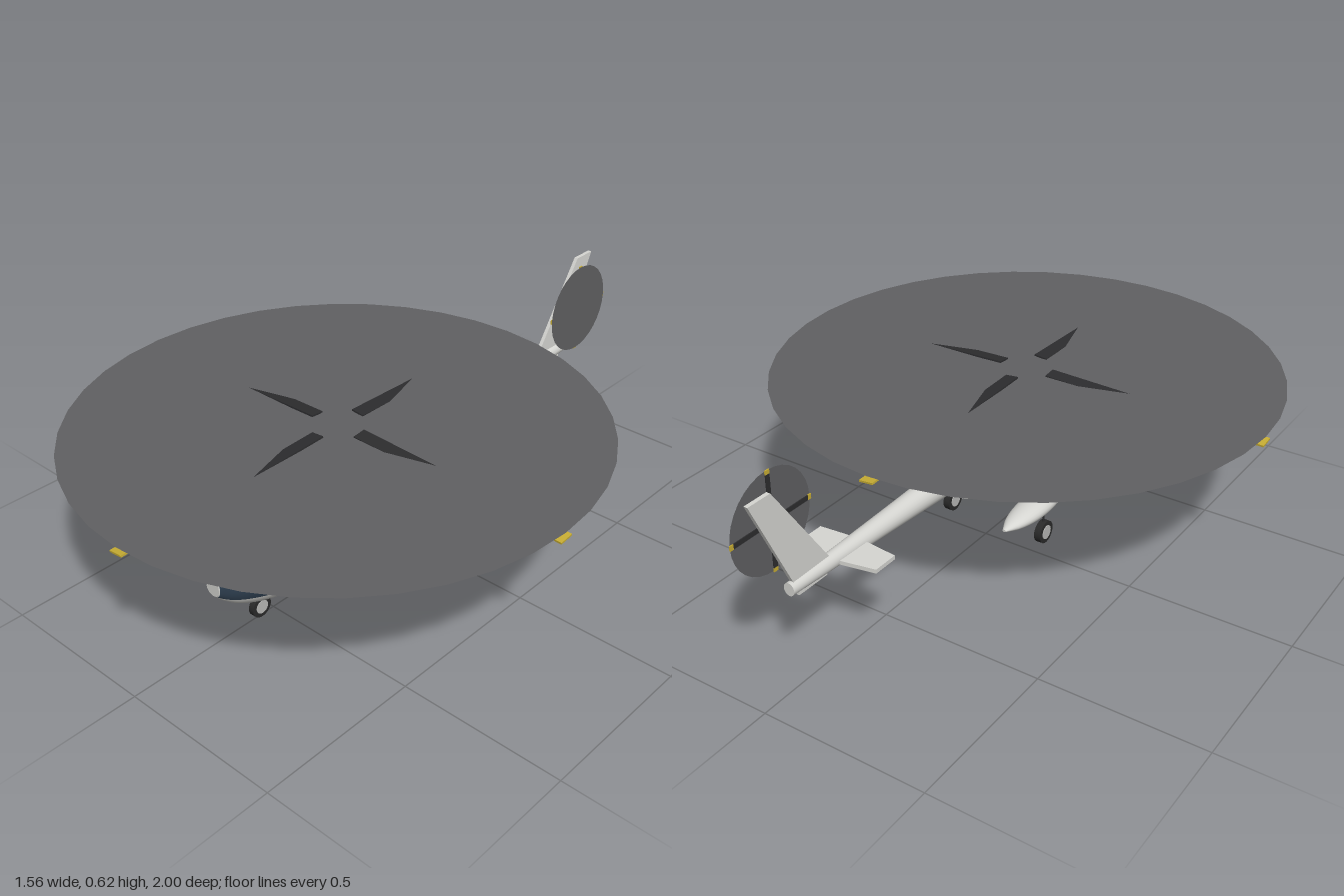
import * as THREE from 'three';

const mat = (name, color, side = THREE.FrontSide) => {
  const m = new THREE.MeshStandardMaterial({ color, side });
  m.name = name;
  return m;
};
const POWER = 2.3;
const bend = (v, p) => Math.sign(v) * Math.abs(v) ** (2 / p);

// Smooth section [centreY, halfWidth, halfHeight] at z, from rows [z, top, bottom, halfWidth] nose to tail
function sectionAt(rows, z) {
  let i = 0;
  while (i < rows.length - 2 && z < rows[i + 1][0]) i++;
  const a = rows[i], b = rows[i + 1], span = b[0] - a[0], t = (z - a[0]) / span;
  const slope = (k, c) => {
    const p = rows[Math.max(k - 1, 0)], q = rows[Math.min(k + 1, rows.length - 1)];
    return (q[c] - p[c]) / (q[0] - p[0]) * span;
  };
  const [top, bottom, hw] = [1, 2, 3].map((c) =>
    a[c] * (1 + 2 * t) * (1 - t) ** 2 + slope(i, c) * t * (1 - t) ** 2 +
    b[c] * t * t * (3 - 2 * t) + slope(i + 1, c) * t * t * (t - 1));
  return [(top + bottom) / 2, hw, (top - bottom) / 2];
}

// Skin through the sections between two stations, over an angle range given per z
function skin(rows, z0, z1, range, { steps = 24, sides = 40, power = 2, grow = 0, caps = [] } = {}) {
  const pos = [], idx = [], w = sides + 1;
  const point = (z, j) => {
    const [cy, hw, hh] = sectionAt(rows, z), [a0, a1] = range(z);
    const a = a0 + (a1 - a0) * j / sides;
    return [(hw + grow) * bend(Math.cos(a), power), cy + (hh + grow) * bend(Math.sin(a), power), z];
  };
  for (let i = 0; i <= steps; i++)
    for (let j = 0; j <= sides; j++) pos.push(...point(z0 + (z1 - z0) * i / steps, j));
  for (let i = 0; i < steps; i++)
    for (let j = 0; j < sides; j++) {
      const a = i * w + j, b = a + w;
      idx.push(a, b, b + 1, a, b + 1, a + 1);
    }
  for (const z of caps) {
    const base = pos.length / 3;
    pos.push(0, sectionAt(rows, z)[0], z);
    for (let j = 0; j <= sides; j++) pos.push(...point(z, j));
    for (let j = 1; j <= sides; j++)
      idx.push(base, ...(z === z0 ? [base + j, base + j + 1] : [base + j + 1, base + j]));
  }
  const g = new THREE.BufferGeometry();
  g.setAttribute('position', new THREE.Float32BufferAttribute(pos, 3));
  g.setIndex(idx);
  g.computeVertexNormals();
  return g;
}
const full = () => [0, Math.PI * 2];

export function createModel() {
  const model = new THREE.Group();
  const white = mat('white paint', 0xd6d6d2);
  const glass = mat('dark blue glass', 0x2e3f50, THREE.DoubleSide);
  const disc = mat('rotor blur grey', 0x606062, THREE.DoubleSide);
  const dark = mat('dark blade', 0x2c2c2e);
  const yellow = mat('yellow tip', 0xc8ae34);
  const rubber = mat('tyre rubber', 0x2a2a2a);
  const metal = mat('light metal', 0xb8b8b6);
  const add = (name, geo, material, parent = model, x = 0, y = 0, z = 0) => {
    const m = new THREE.Mesh(geo, material);
    m.name = name;
    m.position.set(x, y, z);
    parent.add(m);
    return m;
  };

  // Fuselage
  const body = [
    [0.71, 0.228, 0.163, 0.028], [0.695, 0.256, 0.147, 0.052], [0.66, 0.30, 0.122, 0.08],
    [0.60, 0.357, 0.097, 0.108], [0.53, 0.395, 0.081, 0.128], [0.45, 0.411, 0.073, 0.138],
    [0.30, 0.415, 0.071, 0.14], [0.15, 0.413, 0.092, 0.135], [0, 0.404, 0.138, 0.112],
    [-0.135, 0.372, 0.2, 0.065],
  ];
  const angleAt = (z, y) => {
    const [cy, , hh] = sectionAt(body, z);
    const u = THREE.MathUtils.clamp((y - cy) / hh, -1, 1);
    return Math.asin(Math.sign(u) * Math.abs(u) ** (POWER / 2));
  };
  const sill = (z) => angleAt(z, 0.15 + 0.015 * Math.max(0, (z - 0.6) / 0.11));
  const shape = { power: POWER };
  add('cabin', skin(body, 0.45, -0.135, full, { ...shape, caps: [-0.135] }), white);
  add('canopy', skin(body, 0.71, 0.45, (z) => [sill(z), Math.PI - sill(z)], { ...shape, steps: 30 }), glass);
  add('chin', skin(body, 0.71, 0.45, (z) => [Math.PI - sill(z), 2 * Math.PI + sill(z)],
    { ...shape, steps: 30 }), white);
  add('noseCap', skin(body, 0.712, 0.71, full, { ...shape, steps: 1, caps: [0.712] }), white);
  for (const side of [1, -1]) {
    const range = (z) => {
      const lo = angleAt(z, 0.22), hi = angleAt(z, 0.345);
      return side > 0 ? [lo, hi] : [Math.PI - hi, Math.PI - lo];
    };
    add('sideWindow', skin(body, 0.39, 0.26, range, { ...shape, steps: 4, sides: 8, grow: 0.003 }), glass);
  }

  // Engine cowling on the roof
  const cowl = [
    [0.34, 0.412, 0.398, 0.015], [0.29, 0.427, 0.385, 0.055], [0.2, 0.44, 0.375, 0.073],
    [0.05, 0.443, 0.365, 0.077], [-0.08, 0.428, 0.364, 0.07], [-0.15, 0.409, 0.37, 0.052],
    [-0.168, 0.4, 0.378, 0.035],
  ];
  add('engineCowling', skin(cowl, 0.34, -0.168, full, { caps: [0.34, -0.168] }), white);

  // Tail boom, fin, stabilizer and skid
  const boom = [[-0.1, 0.342, 0.249, 0.046], [-0.5, 0.334, 0.272, 0.03], [-0.875, 0.329, 0.291, 0.017]];
  add('tailBoom', skin(boom, -0.1, -0.875, full, { steps: 10, sides: 24, caps: [-0.875] }), white);
  const panel = (pts, depth) => new THREE.ExtrudeGeometry(
    new THREE.Shape(pts.map(([x, y]) => new THREE.Vector2(x, y))), { depth, bevelEnabled: false });
  add('tailFin', panel([[-0.72, 0.32], [-0.86, 0.32], [-0.993, 0.612], [-0.915, 0.612]], 0.012)
    .rotateY(-Math.PI / 2), white, model, 0.006);
  add('stabilizer', panel([[0, -0.595], [-0.125, -0.607], [-0.125, -0.685], [0, -0.71],
    [0.125, -0.685], [0.125, -0.607]], 0.012).rotateX(Math.PI / 2), white, model, 0, 0.309);
  add('tailSkid', new THREE.BoxGeometry(0.01, 0.014, 0.11), white, model, 0, 0.284, -0.79);

  // Side pods and landing gear
  const pod = [
    [0.23, 0.142, 0.135, 0.004], [0.18, 0.155, 0.122, 0.024], [0.1, 0.165, 0.108, 0.042],
    [0, 0.165, 0.108, 0.045], [-0.08, 0.156, 0.118, 0.03], [-0.132, 0.142, 0.134, 0.006],
  ];
  const wheel = (name, x, z, r, width) => {
    const g = new THREE.Group();
    g.name = name;
    g.position.set(x, r + 0.002, z);
    model.add(g);
    add('tyre', new THREE.CylinderGeometry(r, r, width, 24).rotateZ(Math.PI / 2), rubber, g);
    add('wheelHub', new THREE.CylinderGeometry(r * 0.62, r * 0.62, width + 0.004, 20).rotateZ(Math.PI / 2), metal, g);
  };
  for (const side of [1, -1]) {
    add('sidePod', skin(pod, 0.23, -0.132, full, { steps: 18, sides: 24, caps: [0.23, -0.132] }),
      white, model, side * 0.153);
    wheel('mainWheel', side * 0.168, 0.063, 0.036, 0.022);
    add('mainLeg', new THREE.CylinderGeometry(0.003, 0.003, 0.1, 8), dark, model, side * 0.168, 0.085, 0.063);
  }
  wheel('noseWheel', 0, 0.55, 0.034, 0.018);
  add('noseLeg', new THREE.CylinderGeometry(0.005, 0.005, 0.07, 8), dark, model, 0, 0.07, 0.55);

  // Four blades with yellow tips around the local y axis
  const blades = (parent, { inner, outer, tip, chord, thick, droop = 0, pitch = 0 }) => {
    for (let i = 0; i < 4; i++) {
      const arm = new THREE.Group();
      arm.name = 'bladeArm';
      arm.rotation.set(0, i * Math.PI / 2, -droop);
      parent.add(arm);
      const len = outer - tip - inner;
      add('blade', new THREE.BoxGeometry(len, thick, chord).rotateX(pitch), dark, arm, inner + len / 2);
      add('bladeTip', new THREE.BoxGeometry(tip, thick * 1.1, chord * 1.05).rotateX(pitch),
        yellow, arm, outer - tip / 2);
    }
  };

  // Main rotor
  const rotor = new THREE.Group();
  rotor.name = 'mainRotor';
  rotor.position.set(0, 0.485, 0.22);
  model.add(rotor);
  blades(rotor, { inner: 0.08, outer: 0.78, tip: 0.05, chord: 0.042, thick: 0.005, droop: 0.028, pitch: 0.1 });
  add('rotorDisc', new THREE.CircleGeometry(0.775, 40).rotateX(-Math.PI / 2), disc, rotor, 0, -0.005);
  add('rotorHub', new THREE.CylinderGeometry(0.018, 0.018, 0.016, 20), dark, rotor, 0, -0.014);
  add('rotorMast', new THREE.CylinderGeometry(0.009, 0.009, 0.05, 16), metal, rotor, 0, -0.04);

  // Tail rotor on the left side of the fin
  const tail = new THREE.Group();
  tail.name = 'tailRotor';
  tail.position.set(0.063, 0.475, -0.85);
  tail.rotation.z = -Math.PI / 2;
  model.add(tail);
  blades(tail, { inner: 0.015, outer: 0.147, tip: 0.012, chord: 0.014, thick: 0.003 });
  add('tailDisc', new THREE.CircleGeometry(0.145, 32).rotateX(-Math.PI / 2), disc, tail, 0, 0.002);
  add('tailShaft', new THREE.CylinderGeometry(0.006, 0.006, 0.062, 12), dark, tail, 0, -0.031);

  return model;
}
